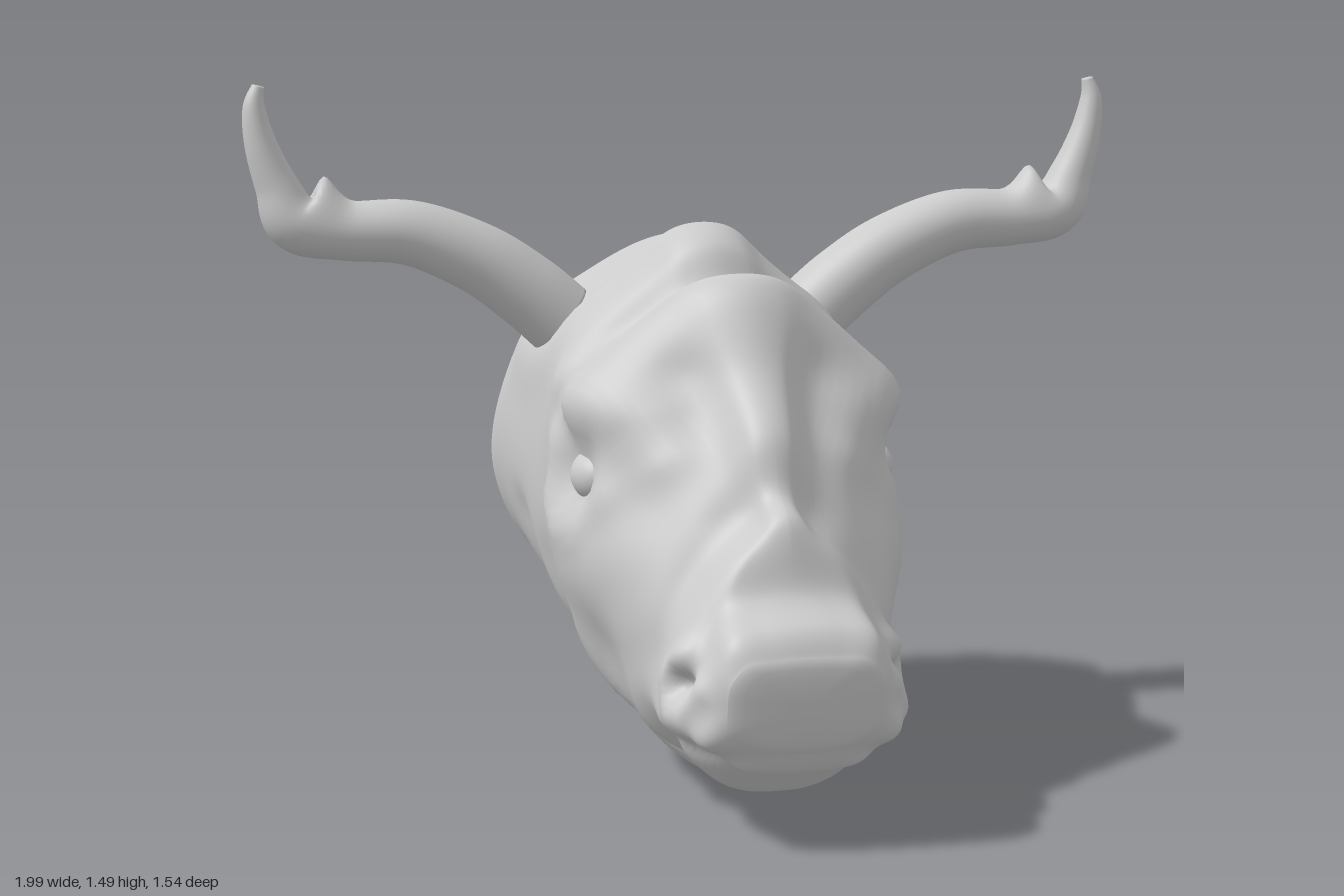
import * as THREE from 'three';

const material = new THREE.MeshStandardMaterial({ color: 0xcccccc });
const V = (x, y, z) => new THREE.Vector3(x, y, z);

// Head stations from nose to neck: top z, top y, bottom z, bottom y
const spine = [
  [0.765, 0.41, 0.735, 0.21], [0.735, 0.46, 0.70, 0.16], [0.645, 0.515, 0.655, 0.162],
  [0.605, 0.65, 0.58, 0.11], [0.52, 0.70, 0.50, 0.066], [0.47, 0.81, 0.42, 0.08],
  [0.355, 0.93, 0.335, 0.045], [0.265, 1.07, 0.25, 0.03], [0.19, 1.107, 0.17, 0.015],
  [0.087, 1.058, 0.08, 0.005], [0, 1.055, 0, 0], [-0.06, 1.145, -0.08, 0.01],
  [-0.15, 1.186, -0.16, 0.03], [-0.24, 1.165, -0.26, 0.065], [-0.43, 1.13, -0.42, 0.155],
  [-0.53, 1.07, -0.55, 0.215], [-0.61, 0.975, -0.69, 0.235], [-0.68, 0.9, -0.765, 0.345],
];
// Half widths at the heights below (fractions from top to bottom), per station
const levels = [0.06, 0.25, 0.5, 0.75, 0.94];
const widths = [
  [0.12, 0.155, 0.16, 0.155, 0.11], [0.145, 0.175, 0.185, 0.195, 0.14], [0.13, 0.175, 0.21, 0.21, 0.14],
  [0.07, 0.155, 0.225, 0.225, 0.14], [0.06, 0.16, 0.24, 0.235, 0.135], [0.07, 0.175, 0.26, 0.255, 0.14],
  [0.095, 0.235, 0.295, 0.275, 0.145], [0.14, 0.31, 0.335, 0.285, 0.145], [0.165, 0.355, 0.36, 0.29, 0.145],
  [0.165, 0.36, 0.37, 0.29, 0.145], [0.15, 0.355, 0.37, 0.29, 0.145], [0.13, 0.335, 0.365, 0.295, 0.145],
  [0.13, 0.32, 0.365, 0.31, 0.15], [0.14, 0.325, 0.375, 0.325, 0.16], [0.17, 0.35, 0.40, 0.34, 0.18],
  [0.19, 0.36, 0.41, 0.35, 0.19], [0.19, 0.345, 0.40, 0.335, 0.18], [0.14, 0.26, 0.305, 0.245, 0.12],
];

// Smooth interpolation through rows of numbers
function sampleRows(rows, t) {
  const f = t * (rows.length - 1), i = Math.min(Math.floor(f), rows.length - 2), u = f - i;
  const at = k => rows[Math.max(0, Math.min(rows.length - 1, k))];
  return rows[i].map((b, c) => {
    const a = at(i - 1)[c], d = at(i + 1)[c], e = at(i + 2)[c];
    return b + 0.5 * u * (d - a + u * (2 * a - 5 * b + 4 * d - e + u * (3 * (b - d) + e - a)));
  });
}

// Skin a list of closed rings and close both ends, always facing outwards
function loft(rings) {
  const n = rings[0].length, pts = rings.flat(), index = [];
  const centre = ring => ring.reduce((s, p) => s.add(p), V(0, 0, 0)).divideScalar(n);
  for (let i = 0; i < rings.length - 1; i++) {
    for (let j = 0; j < n; j++) {
      const a = i * n + j, b = i * n + (j + 1) % n;
      index.push(a, b, a + n, b, b + n, a + n);
    }
  }
  const first = pts.push(centre(rings[0])) - 1, last = pts.push(centre(rings.at(-1))) - 1;
  const base = (rings.length - 1) * n;
  for (let j = 0; j < n; j++) {
    const k = (j + 1) % n;
    index.push(first, k, j, last, base + j, base + k);
  }
  let volume = 0;
  for (let i = 0; i < index.length; i += 3) {
    volume += pts[index[i]].dot(V(0, 0, 0).crossVectors(pts[index[i + 1]], pts[index[i + 2]]));
  }
  if (volume < 0) index.reverse();
  const geometry = new THREE.BufferGeometry().setFromPoints(pts);
  geometry.setIndex(index);
  geometry.computeVertexNormals();
  return geometry;
}

// Sculpting strokes on the sides of the head: points as [z, y], radius, height
const sideStrokes = [
  { path: [[0.17, 0.67], [0.09, 0.68]], r: 0.09, h: -0.055 },                               // eye socket
  { path: [[0.34, 0.74], [0.28, 0.81], [0.15, 0.845], [-0.06, 0.87]], r: 0.06, h: 0.02 },   // brow
  { path: [[0.2, 0.75], [0.08, 0.765], [-0.06, 0.79]], r: 0.035, h: -0.012 },               // brow crease
  { path: [[0.25, 0.65], [0.18, 0.58], [0.04, 0.56], [-0.05, 0.6]], r: 0.045, h: 0.018 },   // lower lid
  { path: [[0.36, 0.54], [0.2, 0.47], [0.0, 0.45]], r: 0.08, h: 0.01 },                     // cheekbone
  { path: [[0.48, 0.36], [0.36, 0.32], [0.2, 0.31]], r: 0.07, h: -0.01 },                   // cheek hollow
  { path: [[0.75, 0.2], [0.66, 0.185], [0.56, 0.185], [0.47, 0.195]], r: 0.025, h: -0.014 }, // mouth
  { path: [[0.68, 0.235], [0.52, 0.24]], r: 0.04, h: 0.01 },                                // upper lip
  { path: [[0.34, 0.09], [0.2, 0.125], [0.02, 0.15], [-0.06, 0.21], [-0.07, 0.38]], r: 0.035, h: -0.014 }, // jaw
  { path: [[0.3, 0.18], [0.1, 0.21], [0.01, 0.29]], r: 0.06, h: 0.012 },                    // jowl
  { path: [[0.625, 0.335], [0.595, 0.33]], r: 0.028, h: -0.035 },                           // nostril
  { path: [[0.68, 0.33], [0.64, 0.275], [0.58, 0.27], [0.55, 0.33], [0.6, 0.385]], r: 0.035, h: 0.018 }, // nostril rim
  { path: [[-0.2, 0.96], [-0.25, 0.9], [-0.33, 0.88], [-0.42, 0.9], [-0.47, 0.96]], r: 0.08, h: 0.022 }, // horn root
  { path: [[-0.37, 0.5], [-0.33, 0.28], [-0.25, 0.13]], r: 0.055, h: -0.014 },              // neck folds
  { path: [[-0.2, 0.42], [-0.19, 0.24]], r: 0.06, h: -0.01 },
];
// Furrow between brow and bridge: points as [x, y]
const furrow = { path: [[0.15, 0.9], [0.12, 0.78], [0.09, 0.66]], r: 0.06, h: -0.016 };

function strokeHeight({ path, r, h }, a, b) {
  let best = Infinity;
  for (let i = 0; i < path.length - 1; i++) {
    const [ax, ay] = path[i], dx = path[i + 1][0] - ax, dy = path[i + 1][1] - ay;
    const t = THREE.MathUtils.clamp(((a - ax) * dx + (b - ay) * dy) / (dx * dx + dy * dy), 0, 1);
    best = Math.min(best, (a - ax - t * dx) ** 2 + (b - ay - t * dy) ** 2);
  }
  return h * Math.exp(-best / (r * r));
}

function headGeometry() {
  const rings = [], steps = 170, sides = 144;
  for (let i = 0; i <= steps; i++) {
    const [zt, yt, zb, yb] = sampleRows(spine, i / steps), w = sampleRows(widths, i / steps);
    // Upper section sweeps back away from the midline
    const sweep = 0.45 * Math.sin(Math.PI * i / steps);
    const at = (x, f) => V(x, yt + (yb - yt) * f,
      zt + (zb - zt) * f - sweep * (Math.hypot(x, 0.08) - 0.08) * Math.max(0, 1 - 2.4 * f));
    const side = s => [at(s * w[0] * 0.5, 0.012), ...levels.map((f, k) => at(s * w[k], f)),
      at(s * w[4] * 0.55, 0.988)];
    const outline = [at(0, 0), ...side(1), at(0, 1), ...side(-1).reverse()];
    const curve = new THREE.CatmullRomCurve3(outline, true, 'centripetal');
    rings.push(Array.from({ length: sides }, (_, k) => curve.getPoint(k / sides)));
  }
  // Rounded nose end and nearly flat neck end
  const cap = (ring, dz, scales) => {
    const c = ring.reduce((s, p) => s.add(p), V(0, 0, 0)).divideScalar(sides);
    return scales.map(k => ring.map(p => p.clone().sub(c).multiplyScalar(k).add(c)
      .add(V(0, 0, dz * Math.sqrt(1 - k * k)))));
  };
  const nose = cap(rings[0], 0.015, [0.2, 0.45, 0.65, 0.8, 0.92]);
  const neck = cap(rings[steps], -0.02, [0.97, 0.92, 0.8, 0.6, 0.3]);
  const geometry = loft([...nose, ...rings, ...neck]);

  const { position, normal } = geometry.attributes, smooth = THREE.MathUtils.smoothstep;
  for (let i = 0; i < position.count; i++) {
    const p = V().fromBufferAttribute(position, i), n = V().fromBufferAttribute(normal, i);
    const x = Math.abs(p.x);
    let d = strokeHeight(furrow, x, p.y) * smooth(p.z, 0.1, 0.3);
    for (const s of sideStrokes) d += strokeHeight(s, p.z, p.y) * smooth(x, 0.06, 0.18);
    p.addScaledVector(n, d);
    position.setXYZ(i, p.x, p.y, p.z);
  }
  geometry.computeVertexNormals();
  return geometry;
}

// Horn centre line with radius: x, y, r
const hornPath = [
  [0.295, 0.96, 0.087], [0.37, 1.025, 0.085], [0.48, 1.1, 0.08], [0.63, 1.16, 0.073],
  [0.78, 1.168, 0.066], [0.885, 1.19, 0.066], [0.925, 1.27, 0.048], [0.957, 1.36, 0.036],
  [0.97, 1.44, 0.025], [0.96, 1.49, 0.013],
];
function hornGeometry(side) {
  const rings = [], steps = 80, sides = 32;
  for (let i = 0; i <= steps; i++) {
    const t = i / steps, [x, y, r] = sampleRows(hornPath, t);
    const a = sampleRows(hornPath, Math.max(0, t - 0.01)), b = sampleRows(hornPath, Math.min(1, t + 0.01));
    const tangent = V(b[0] - a[0], b[1] - a[1], 0).normalize();
    // Knob on the upper side before the bend
    const knob = 0.05 * Math.exp(-(((x - 0.835) / 0.04) ** 2));
    rings.push(Array.from({ length: sides }, (_, k) => {
      const q = k / sides * Math.PI * 2, up = Math.cos(q);
      const c = r * up + knob * Math.max(0, up) ** 2;
      return V(side * (x - tangent.y * c), y + tangent.x * c, -0.325 + r * 1.08 * Math.sin(q));
    }));
  }
  return loft(rings);
}

export function createModel() {
  const model = new THREE.Group();
  model.name = 'hornedHead';
  const add = (name, geometry) => {
    const mesh = new THREE.Mesh(geometry, material);
    mesh.name = name;
    model.add(mesh);
    return mesh;
  };
  add('head', headGeometry());
  for (const [side, label] of [[1, 'left'], [-1, 'right']]) {
    add(label + 'Horn', hornGeometry(side));
    const eye = add(label + 'Eye', new THREE.SphereGeometry(1, 32, 24));
    eye.scale.set(0.06, 0.058, 0.075);
    eye.position.set(side * 0.295, 0.677, 0.128);
  }
  return model;
}
